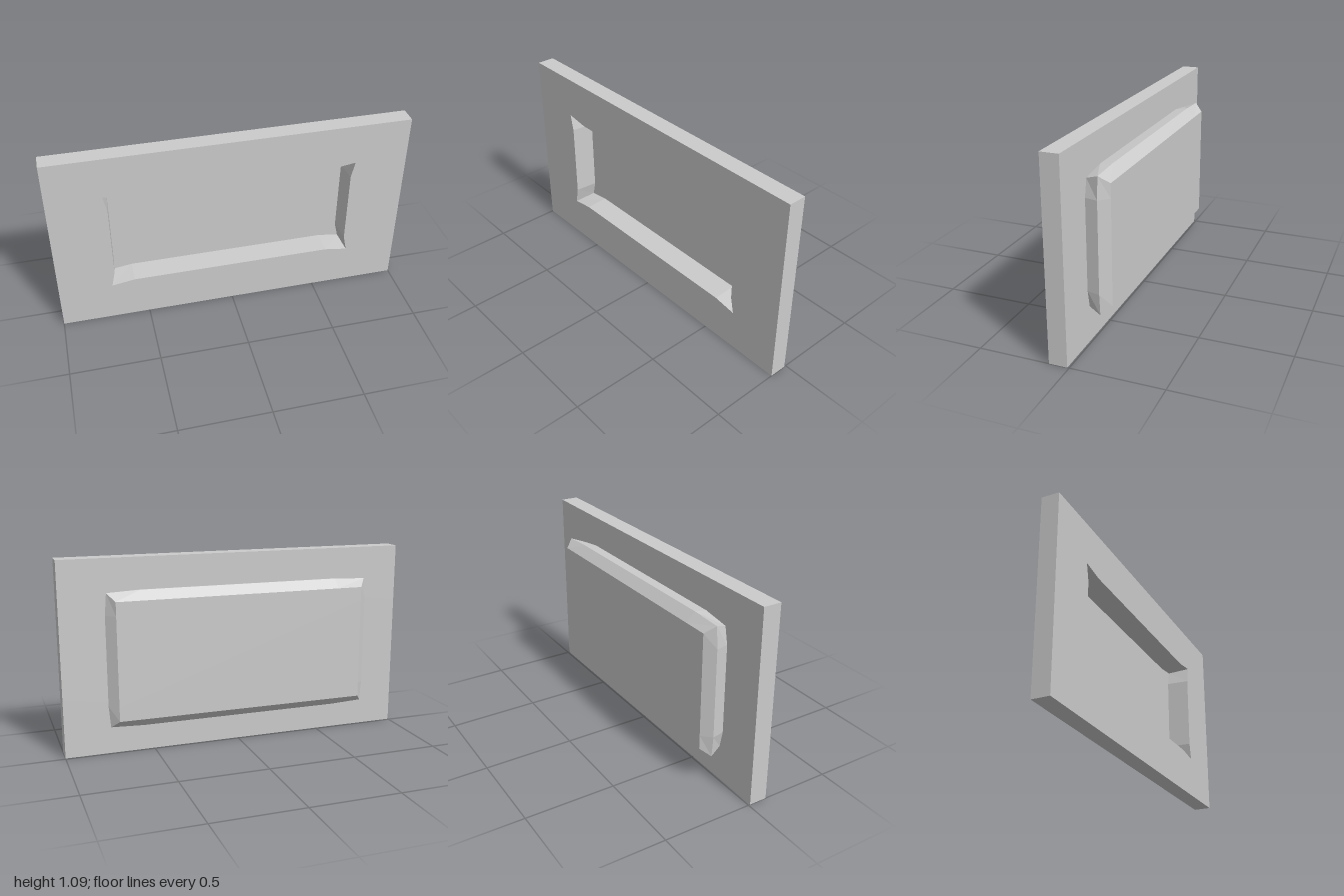
import * as THREE from 'three';

const CY = 0.545; // height of the panel's centre

// Twelve-point outline, counter-clockwise from the front:
// corners at (cx, cy), straight sides at (mx, my), bends at (bx, by).
function ring(z, cx, cy, mx = cx, my = cy, bx = 0.57, by = 0.215) {
  return [
    [mx, -by], [mx, by], [cx, cy], [bx, my],
    [-bx, my], [-cx, cy], [-mx, by], [-mx, -by],
    [-cx, -cy], [-bx, -my], [bx, -my], [cx, -cy],
  ].map(([x, y]) => [x, CY + y, z]);
}

const centre = (z) => Array.from({ length: 12 }, () => [0, CY, z]);

// Skin a sequence of outlines with flat-shaded faces.
function loft(name, rings) {
  const pos = [];
  const tri = (a, b, c) => pos.push(...a, ...b, ...c);
  const same = (p, q) => p.every((v, k) => v === q[k]);
  for (let r = 0; r < rings.length - 1; r++) {
    const a = rings[r], b = rings[r + 1];
    for (let i = 0; i < 12; i++) {
      const j = (i + 1) % 12;
      if (!same(a[i], a[j])) tri(a[i], a[j], b[j]);
      if (!same(b[i], b[j])) tri(a[i], b[j], b[i]);
    }
  }
  const geometry = new THREE.BufferGeometry();
  geometry.setAttribute('position', new THREE.Float32BufferAttribute(pos, 3));
  geometry.computeVertexNormals();
  const mesh = new THREE.Mesh(
    geometry,
    new THREE.MeshStandardMaterial({ color: 0xcccccc, flatShading: true })
  );
  mesh.name = name;
  return mesh;
}

export function createModel() {
  const group = new THREE.Group();
  group.name = 'recessedWallPanel';

  const base = ring(0.01, 0.73, 0.345, 0.75, 0.367, 0.57, 0.25);
  const opening = ring(0.11, 0.70, 0.31, 0.68, 0.29);

  group.add(
    // Slab with the opening in its front face
    loft('panel', [base, ring(0.01, 1, CY), ring(0.11, 1, CY), opening]),
    // Recess walls and floor, flared at the corners
    loft('recess', [opening, ring(-0.02, 0.69, 0.30, 0.67, 0.283), centre(-0.02)]),
    // Bevelled housing behind the recess
    loft('backHousing', [
      centre(-0.11),
      ring(-0.11, 0.715, 0.328, 0.715, 0.328, 0.57, 0.25),
      ring(-0.06, 0.755, 0.37, 0.765, 0.378, 0.57, 0.25),
      base,
    ])
  );
  return group;
}
